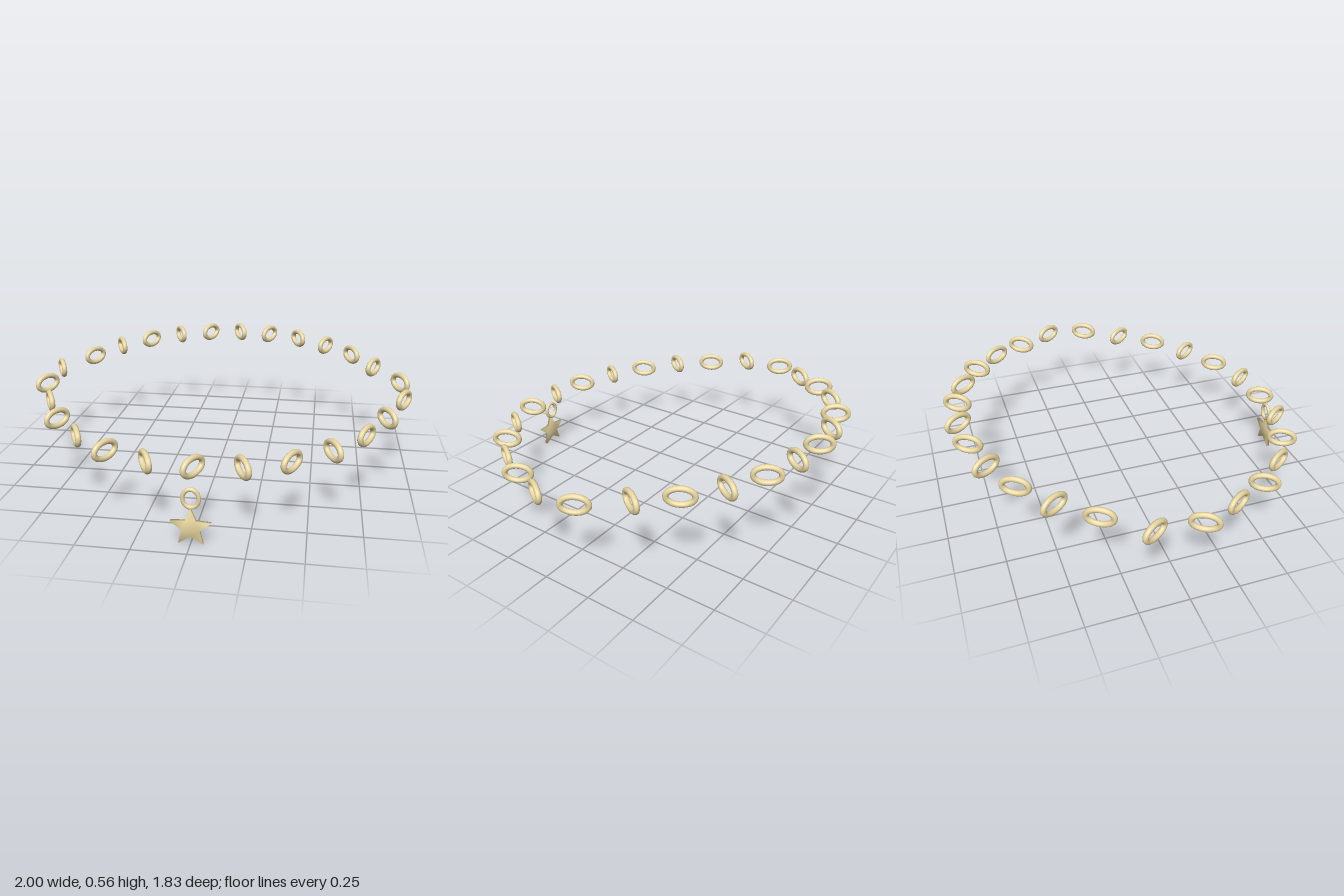
import * as THREE from 'three';
import { mergeVertices } from 'three/addons/utils/BufferGeometryUtils.js';

const gold = new THREE.MeshStandardMaterial({ color: 0xe8d6a0 });

// Closed oval of round wire, long axis along local x.
class Oval extends THREE.Curve {
  constructor(a, b) {
    super();
    this.a = a;
    this.b = b;
  }
  getPoint(t, target = new THREE.Vector3()) {
    const u = t * Math.PI * 2;
    return target.set(this.a * Math.cos(u), this.b * Math.sin(u), 0);
  }
}

const ovalRing = (a, b, wire) => new THREE.TubeGeometry(new Oval(a, b), 48, wire, 12, true);

function addMesh(parent, name, geometry, x, y, z) {
  const mesh = new THREE.Mesh(geometry, gold);
  mesh.name = name;
  mesh.position.set(x, y, z);
  parent.add(mesh);
  return mesh;
}

// Link centres along the left half, from the front middle to the back middle.
const HALF_LOOP = [
  [0, 0.337, 0.84], [0.215, 0.339, 0.822], [0.42, 0.345, 0.745], [0.598, 0.356, 0.625],
  [0.75, 0.372, 0.465], [0.858, 0.391, 0.273], [0.954, 0.414, 0.065], [0.954, 0.432, -0.167],
  [0.821, 0.454, -0.367], [0.701, 0.474, -0.537], [0.548, 0.489, -0.674],
  [0.376, 0.5, -0.774], [0.19, 0.508, -0.828], [0, 0.51, -0.85],
];

// Flat star with softly shaded edges
function starGeometry(outer, inner, thickness) {
  const shape = new THREE.Shape();
  for (let i = 0; i < 10; i++) {
    const r = i % 2 ? inner : outer;
    const a = Math.PI / 2 + (i * Math.PI) / 5;
    shape[i ? 'lineTo' : 'moveTo'](r * Math.cos(a), r * Math.sin(a));
  }
  shape.closePath();
  const geometry = new THREE.ExtrudeGeometry(shape, { depth: thickness, bevelEnabled: false });
  geometry.translate(0, 0, -thickness / 2);
  geometry.deleteAttribute('normal');
  geometry.deleteAttribute('uv');
  const smooth = mergeVertices(geometry);
  smooth.computeVertexNormals();
  return smooth;
}

export function createModel() {
  const model = new THREE.Group();
  model.name = 'charmNecklace';

  // Chain: links turned alternately to either side
  const chain = new THREE.Group();
  chain.name = 'chain';
  model.add(chain);
  const linkGeometry = ovalRing(0.0635, 0.0395, 0.0138);
  HALF_LOOP.forEach(([x, y, z], i) => {
    const turn = i % 2 ? -Math.PI / 3 : Math.PI / 3;
    for (const side of x === 0 ? [1] : [1, -1]) {
      addMesh(chain, 'chainLink', linkGeometry, side * x, y, z).rotation.y = turn;
    }
  });

  // Pendant: upright hanging ring and flat star
  const pendant = new THREE.Group();
  pendant.name = 'pendant';
  model.add(pendant);
  addMesh(pendant, 'hangingRing', ovalRing(0.036, 0.043, 0.0098), 0, 0.212, 0.896);
  addMesh(pendant, 'starCharm', starGeometry(0.095, 0.042, 0.016), 0, 0.077, 0.908);

  return model;
}
